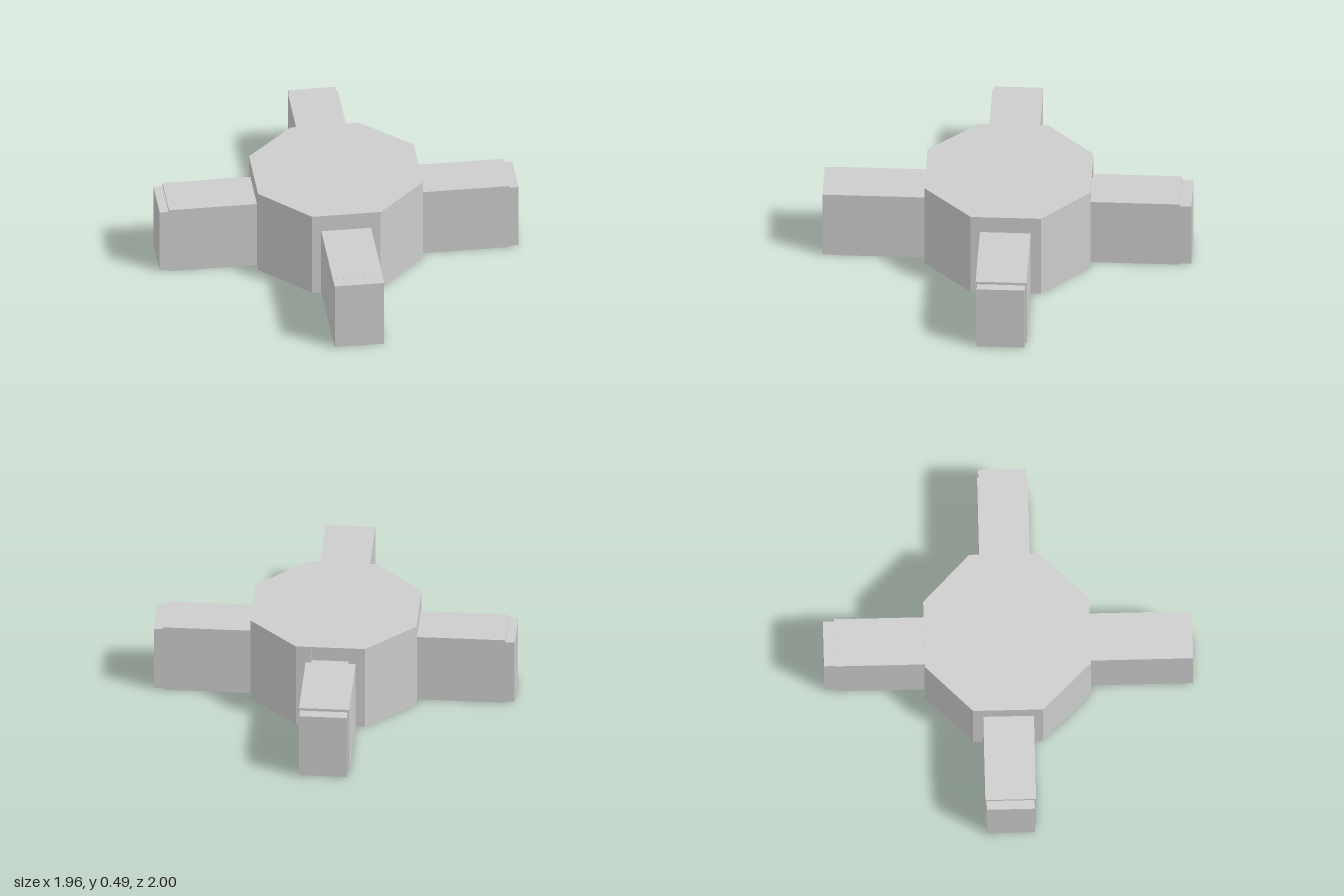
import * as THREE from 'three';

export function createModel() {
  const model = new THREE.Group();
  const grey = new THREE.MeshStandardMaterial({ color: 0xcccccc });
  grey.name = 'lightGrey';

  // Vertical prism from an outline of [x, z] points
  function prism(name, outline, y0, y1) {
    const shape = new THREE.Shape(outline.map(([x, z]) => new THREE.Vector2(x, -z)));
    const geo = new THREE.ExtrudeGeometry(shape, { depth: y1 - y0, bevelEnabled: false });
    geo.rotateX(-Math.PI / 2).translate(0, y0, 0);
    const mesh = new THREE.Mesh(geo, grey);
    mesh.name = name;
    model.add(mesh);
  }

  // Box given by its limits on each axis
  function block(name, [x0, x1], [y0, y1], [z0, z1]) {
    const geo = new THREE.BoxGeometry(x1 - x0, y1 - y0, z1 - z0);
    geo.translate((x0 + x1) / 2, (y0 + y1) / 2, (z0 + z1) / 2);
    const mesh = new THREE.Mesh(geo, grey);
    mesh.name = name;
    model.add(mesh);
  }

  // Octagonal hub, with a shallow recess in the back wall above the arm
  const sides = [[0.45, -0.2], [0.45, 0.18], [0.185, 0.445], [-0.19, 0.445],
    [-0.45, 0.18], [-0.45, -0.2], [-0.19, -0.455]];
  const corner = [0.185, -0.455];
  const recess = [[-0.1, -0.455], [-0.1, -0.43], [0.1, -0.43], [0.1, -0.455]];
  prism('hubBody', [...sides, ...recess, corner], 0, 0.475);
  prism('hubRoof', [...sides, corner], 0.475, 0.49);

  // Side arms with slightly smaller end caps
  const armY = [0, 0.393];
  const capY = [0.005, 0.377];
  block('leftArm', [0.42, 0.93], armY, [-0.145, 0.13]);
  block('leftEndCap', [0.92, 0.98], capY, [-0.138, 0.122]);
  block('rightArm', [-0.93, -0.42], armY, [-0.145, 0.13]);
  block('rightEndCap', [-0.98, -0.92], capY, [-0.138, 0.122]);

  // Back arm with a smaller end cap
  block('backArm', [-0.14, 0.132], armY, [-0.94, -0.42]);
  block('backEndCap', [-0.132, 0.126], capY, [-1, -0.93]);

  // Front arm with a flush end cap
  block('frontArm', [-0.14, 0.132], armY, [0.42, 0.93]);
  block('frontEndCap', [-0.139, 0.131], [0.001, 0.392], [0.925, 1]);

  return model;
}
